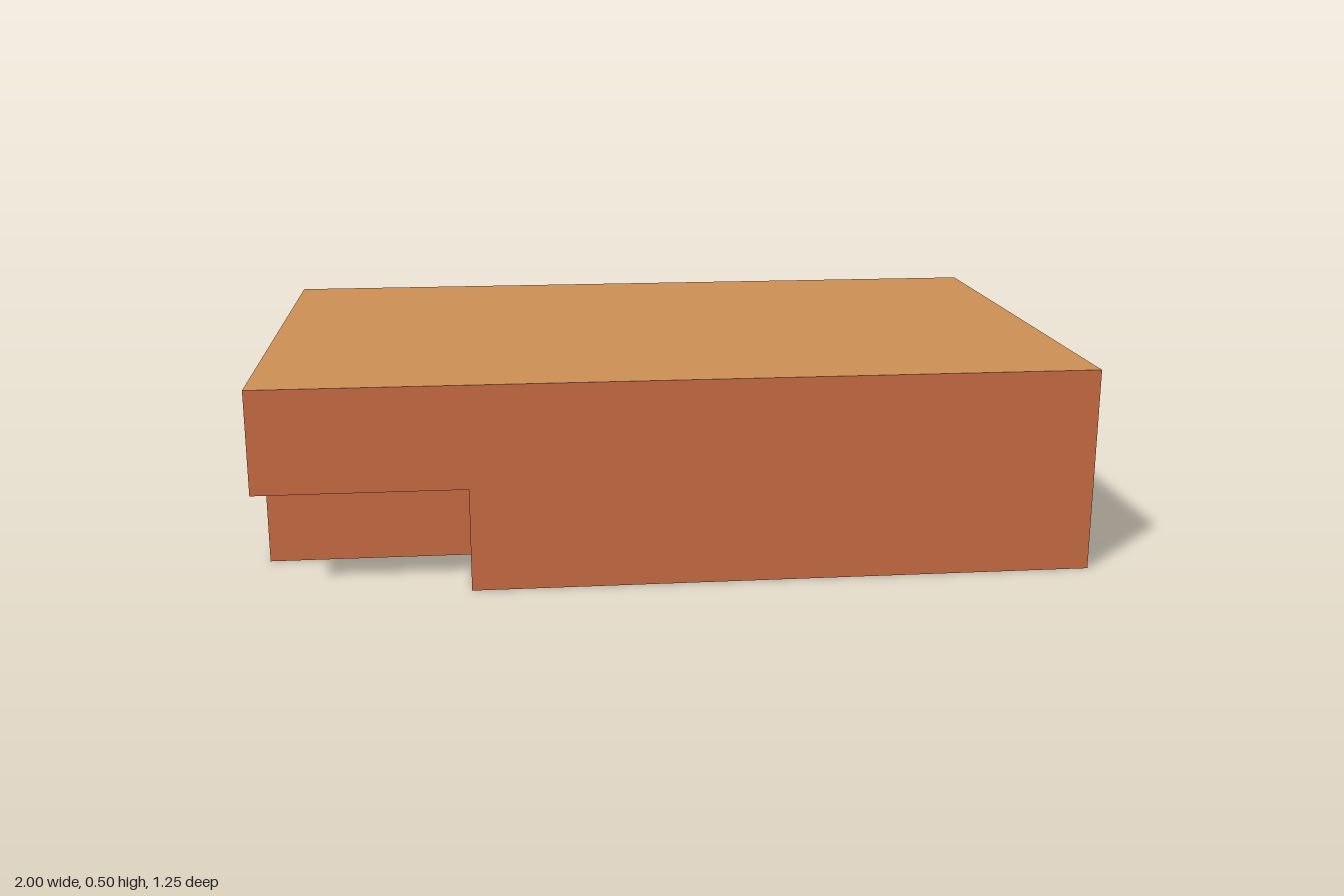
import * as THREE from 'three';

const wood = new THREE.MeshStandardMaterial({ color: 0xcc8e55 });
const orange = new THREE.MeshStandardMaterial({ color: 0xcc6e44 });
const red = new THREE.MeshStandardMaterial({ color: 0xcc0000 });

// Overall half sizes, step height and full height
const X = 1, Z = 0.625, STEP = 0.25, TOP = 0.5;

// Upright strip along [x, z] corners; faces to the right of the direction of travel
function wall(name, material, path, y0, y1) {
  const pos = [];
  for (let i = 0; i + 1 < path.length; i++) {
    const [ax, az] = path[i], [bx, bz] = path[i + 1];
    pos.push(ax, y0, az, bx, y0, bz, bx, y1, bz);
    pos.push(ax, y0, az, bx, y1, bz, ax, y1, az);
  }
  const geo = new THREE.BufferGeometry();
  geo.setAttribute('position', new THREE.Float32BufferAttribute(pos, 3));
  geo.computeVertexNormals();
  const mesh = new THREE.Mesh(geo, material);
  mesh.name = name;
  return mesh;
}

// Level face from [x, z] corners, facing down
function ceiling(name, material, outline, y, holes = []) {
  const toPoints = (c) => c.map(([x, z]) => new THREE.Vector2(x, z));
  const shape = new THREE.Shape(toPoints(outline));
  shape.holes = holes.map((h) => new THREE.Path(toPoints(h)));
  const mesh = new THREE.Mesh(new THREE.ShapeGeometry(shape).rotateX(Math.PI / 2), material);
  mesh.position.y = y;
  mesh.name = name;
  return mesh;
}

const rect = (x0, x1, z0, z1) => [[x1, z1], [x0, z1], [x0, z0], [x1, z0]];

export function createModel() {
  const model = new THREE.Group();
  model.name = 'notchedBlock';

  // Top face
  const top = new THREE.Mesh(new THREE.PlaneGeometry(2 * X, 2 * Z).rotateX(-Math.PI / 2), wood);
  top.position.y = TOP;
  top.name = 'topFace';
  model.add(top);

  // Upper half: plain rectangle
  model.add(wall('upperFront', orange, [[-X, Z], [X, Z]], STEP, TOP));
  model.add(wall('upperSides', wood, [[X, Z], [X, -Z], [-X, -Z], [-X, Z]], STEP, TOP));

  // Lower half: two opposite corners notched
  const front = [[-X, 0.375], [-0.5, 0.375], [-0.5, Z], [X, Z]];
  const sides = [[X, Z], [X, -0.375], [0.5, -0.375], [0.5, -Z], [-X, -Z], [-X, 0.375]];
  model.add(wall('lowerFront', orange, front, 0, STEP));
  model.add(wall('lowerSides', wood, sides, 0, STEP));

  // Undersides of the corner notches
  model.add(ceiling('frontNotchCeiling', red, rect(-X, -0.5, 0.375, Z), STEP));
  model.add(ceiling('backNotchCeiling', red, rect(0.5, X, -Z, -0.375), STEP));

  // Two pockets sunk into the base
  const pockets = [rect(0, 0.5, 0.125, 0.375), rect(-0.75, -0.25, -0.375, -0.125)];
  for (const pocket of pockets) {
    model.add(wall('pocketWalls', orange, [...pocket, pocket[0]], 0, STEP));
    model.add(ceiling('pocketCeiling', red, pocket, STEP));
  }

  // Base with the pocket openings
  model.add(ceiling('base', wood, [...front, ...sides.slice(1, -1)], 0, pockets));
  return model;
}
